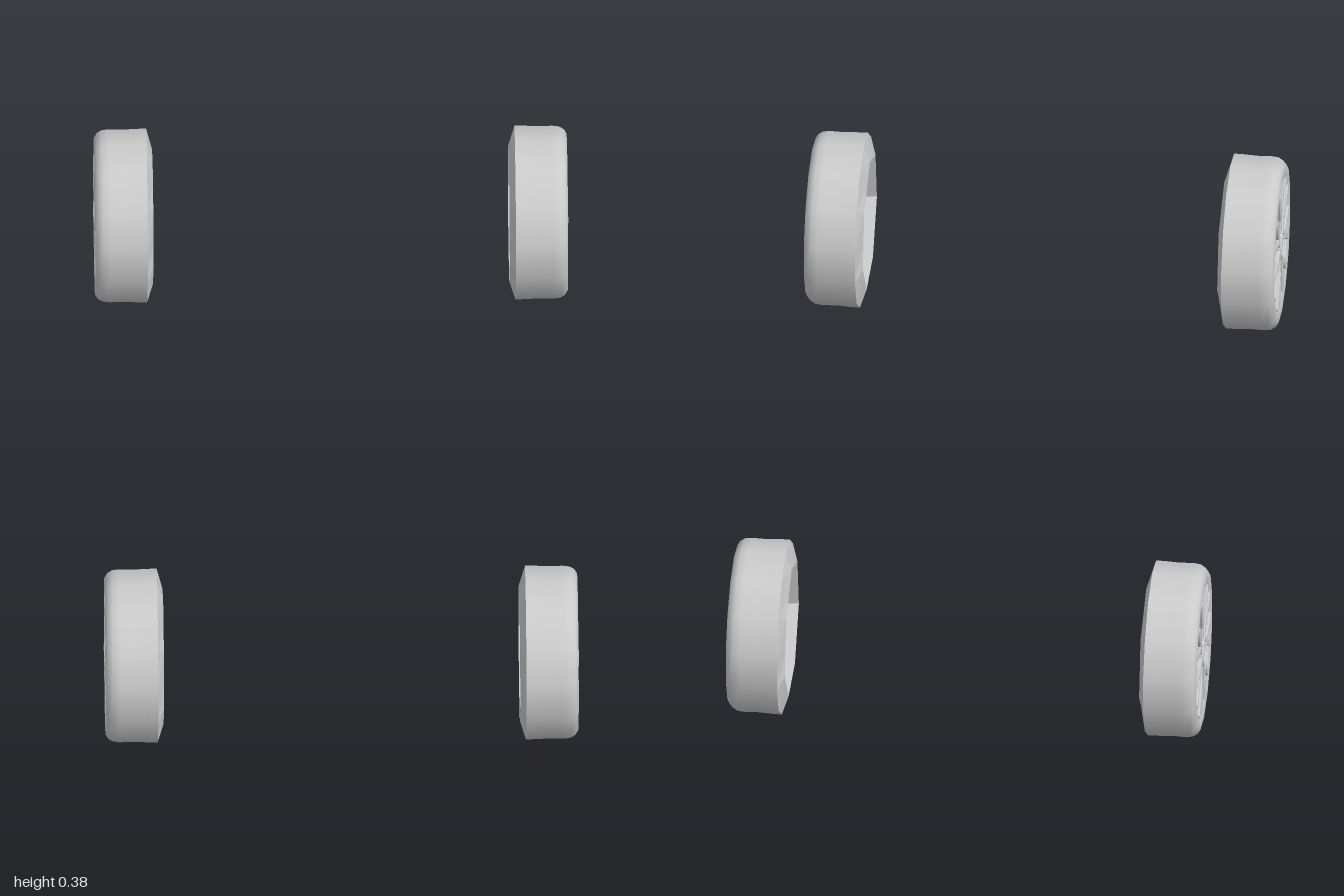
import * as THREE from 'three';

const SPOKES = 7, SIDES = 14;
const AXLE_Y = 0.193, AXLE_Z = 0.811;

const smooth = new THREE.MeshStandardMaterial({ color: 0xcccccc, side: THREE.DoubleSide });
const flat = new THREE.MeshStandardMaterial({ color: 0xcccccc, side: THREE.DoubleSide, flatShading: true });

function part(name, geometry, material) {
  const mesh = new THREE.Mesh(geometry, material);
  mesh.name = name;
  return mesh;
}

// Turn a profile of [radius, x] pairs around the x axis, first corner at the top
function turned(profile, sides) {
  const points = profile.map(([r, x]) => new THREE.Vector2(r, x));
  return new THREE.LatheGeometry(points, sides, -Math.PI / 2).rotateZ(-Math.PI / 2);
}

// Inner shoulder of the tyre and the seven-sided barrel behind the spokes
function barrelGeometry() {
  const profile = [[0.143, 0.49], [0.143, 0.435], [0.15, 0.385], [0.191, 0.398]];
  const geometry = turned(profile, SIDES);
  const pos = geometry.attributes.position;
  const apothem = Math.cos(Math.PI / SPOKES);
  for (let i = 1; i <= SIDES; i += 2) {
    for (let j = 0; j < 3; j++) {
      const k = i * profile.length + j;
      pos.setY(k, pos.getY(k) * apothem);
      pos.setZ(k, pos.getZ(k) * apothem);
    }
  }
  return geometry;
}

// A straight bar from a to b in the wheel plane, tapering in width
function bar(a, b, wa, wb, depth, front) {
  const dir = new THREE.Vector2(b[0] - a[0], b[1] - a[1]).normalize();
  const n = [-dir.y, dir.x];
  const corner = (p, w) => new THREE.Vector2(p[0] + n[0] * w, p[1] + n[1] * w);
  const shape = new THREE.Shape([corner(a, -wa), corner(b, -wb), corner(b, wb), corner(a, wa)]);
  const bevel = 0.002;
  const geometry = new THREE.ExtrudeGeometry(shape, {
    depth: depth - 2 * bevel, bevelEnabled: true, bevelSize: bevel, bevelThickness: bevel, bevelSegments: 1,
  });
  return geometry.translate(0, 0, front - depth + bevel).rotateY(Math.PI / 2);
}

// Y-shaped spoke: short stem and two diverging arms
function makeSpoke() {
  const spoke = new THREE.Group();
  spoke.name = 'spoke';
  spoke.add(part('spokeStem', bar([0, 0.025], [0, 0.075], 0.011, 0.009, 0.03, 0.51), flat));
  for (const s of [-1, 1]) {
    spoke.add(part('spokeArm', bar([s * 0.004, 0.065], [s * 0.031, 0.14], 0.005, 0.006, 0.025, 0.511), flat));
  }
  return spoke;
}

function makeWheel(name) {
  const wheel = new THREE.Group();
  wheel.name = name;

  // Tyre tread and rounded outer sidewall
  wheel.add(part('tyre', turned([
    [0.191, 0.398], [0.1905, 0.42], [0.189, 0.45], [0.19, 0.48], [0.188, 0.495],
    [0.182, 0.505], [0.172, 0.511], [0.16, 0.511], [0.149, 0.507],
  ], SIDES), smooth));
  wheel.add(part('barrel', barrelGeometry(), flat));

  // Rim lip that the spokes run into
  wheel.add(part('rimLip', turned([
    [0.149, 0.507], [0.145, 0.509], [0.14, 0.505], [0.135, 0.49], [0.136, 0.475],
  ], 28), smooth));

  for (let i = 0; i < SPOKES; i++) {
    const spoke = makeSpoke();
    spoke.rotation.x = (i / SPOKES) * Math.PI * 2;
    wheel.add(spoke);
  }

  // Centre cap and hub drum
  wheel.add(part('hubCap', turned([
    [0.036, 0.49], [0.036, 0.508], [0.032, 0.513], [0.027, 0.513], [0.025, 0.51], [0, 0.511],
  ], 14), flat));
  wheel.add(part('hubDrum', turned([
    [0, 0.45], [0.05, 0.45], [0.053, 0.455], [0.053, 0.485], [0.045, 0.497], [0, 0.497],
  ], 14), flat));
  return wheel;
}

export function createModel() {
  const model = new THREE.Group();
  model.name = 'wheelSet';
  for (const [end, z] of [['front', AXLE_Z], ['rear', -AXLE_Z]]) {
    for (const side of ['Left', 'Right']) {
      const wheel = makeWheel(`${end}${side}Wheel`);
      wheel.position.set(0, AXLE_Y, z);
      if (side === 'Right') wheel.rotation.y = Math.PI;
      model.add(wheel);
    }
  }
  return model;
}
